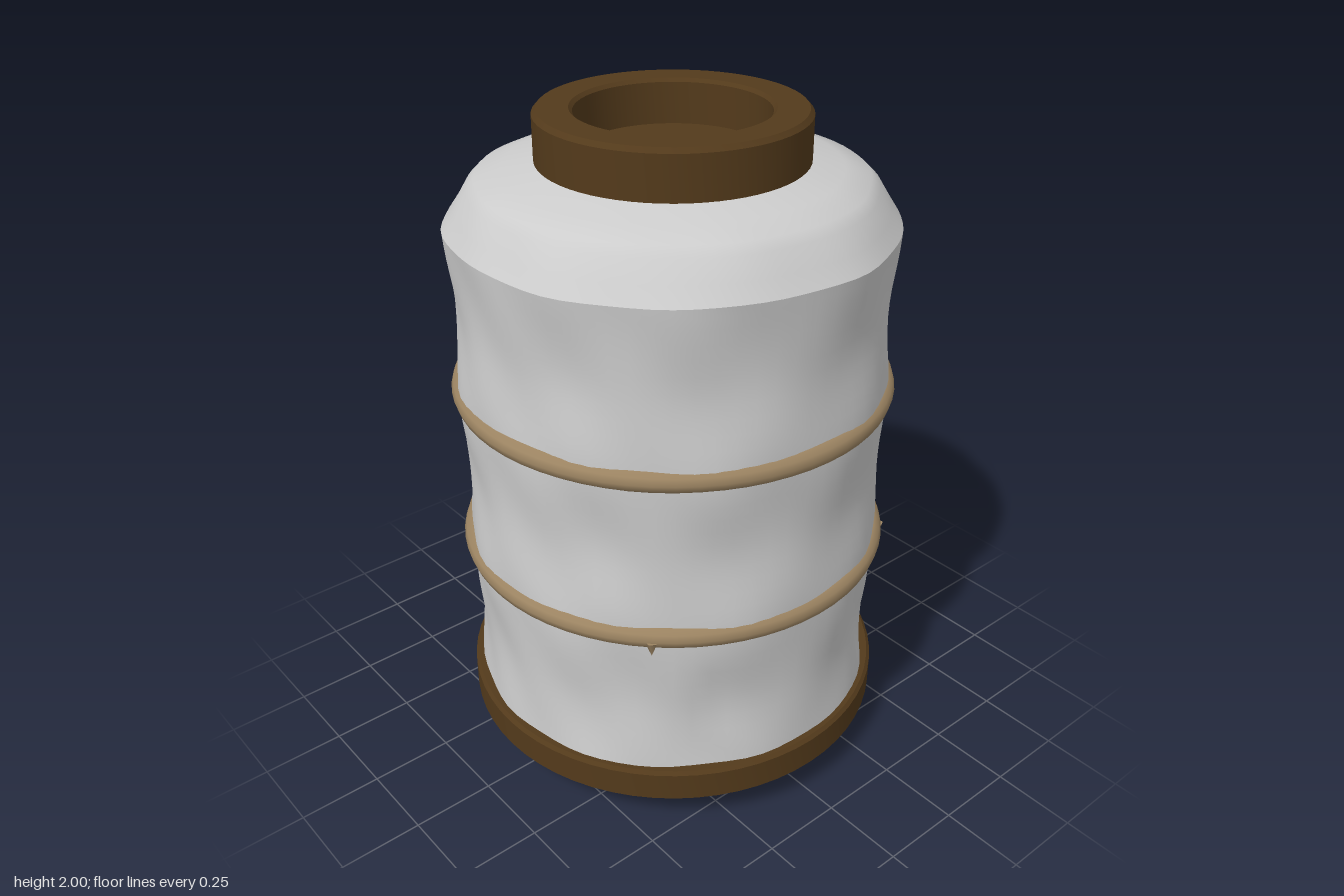
import * as THREE from 'three';
import { toCreasedNormals } from 'three/addons/utils/BufferGeometryUtils.js';

const wood = new THREE.MeshStandardMaterial({ color: 0x533a1b });
wood.name = 'dark wood';
const cloth = new THREE.MeshStandardMaterial({ color: 0xcccccc });
cloth.name = 'pale cloth';
const cord = new THREE.MeshStandardMaterial({ color: 0x9c8462 });
cord.name = 'tan cord';

// Revolve a list of [radius, height] pairs
function lathe(points, sides) {
  return new THREE.LatheGeometry(points.map(([r, y]) => new THREE.Vector2(r, y)), sides);
}

function addMesh(group, name, geometry, material) {
  const mesh = new THREE.Mesh(geometry, material);
  mesh.name = name;
  group.add(mesh);
  return mesh;
}

// Soft wrinkles plus a few sharp vertical folds: [angle from +z towards +x, height, half length, depth]
const folds = [
  [0.62, 0.36, 0.14, 0.022], [-0.5, 0.45, 0.14, 0.014], [1.37, 1.5, 0.14, 0.014],
  [2.1, 0.45, 0.2, 0.02], [-2.3, 0.45, 0.2, 0.016], [2.5, 1.45, 0.18, 0.014],
];
function wrinkle(a, y) {
  let d = 0.003 * Math.sin(5 * a + 4 * y) + 0.003 * Math.sin(9 * a - 11 * y)
    + 0.002 * Math.sin(14 * a + 17 * y + 2);
  for (const [fa, fy, len, depth] of folds) {
    let da = a - fa - (y - fy) * -0.25;
    da = Math.atan2(Math.sin(da), Math.cos(da));
    const along = Math.max(0, 1 - ((y - fy) / len) ** 2);
    d -= depth * along * Math.exp(-((da / 0.07) ** 2));
  }
  return d;
}

function clothGeometry() {
  // Bulging between the cords, rounded at the shoulder
  const curve = new THREE.SplineCurve([
    [0.627, 0.2], [0.612, 0.42], [0.632, 0.7], [0.615, 0.95], [0.632, 1.2], [0.615, 1.45], [0.637, 1.69],
  ].map(([r, y]) => new THREE.Vector2(r, y)));
  const side = curve.getPoints(36).map(p => [p.x, p.y]);
  const shoulder = [[0.605, 1.735], [0.57, 1.79], [0.545, 1.815], [0.47, 1.84], [0.36, 1.865]];
  const g = lathe([...side, ...shoulder], 72);
  const pos = g.attributes.position;
  for (let i = 0; i < pos.count; i++) {
    const x = pos.getX(i), y = pos.getY(i), z = pos.getZ(i);
    const r = Math.hypot(x, z);
    const fade = THREE.MathUtils.clamp((r - 0.4) / 0.2, 0, 1);
    const k = 1 + fade * wrinkle(Math.atan2(x, z), y) / r;
    pos.setXYZ(i, x * k, y, z * k);
  }
  return toCreasedNormals(g, 0.6);
}

export function createModel() {
  const group = new THREE.Group();

  // Base plate with a shallow underside recess and a hollow foot
  const base = lathe([
    [0, 0.13], [0.27, 0.13], [0.27, 0.01], [0.28, 0], [0.37, 0], [0.38, 0.01], [0.38, 0.125],
    [0.6, 0.125], [0.61, 0.108], [0.642, 0.108], [0.652, 0.118], [0.652, 0.207], [0.642, 0.217], [0.58, 0.217],
  ], 64);
  addMesh(group, 'base', toCreasedNormals(base, 0.6), wood);

  // Cloth wrapping
  addMesh(group, 'clothBody', clothGeometry(), cloth);

  // Hollow collar on top
  const collar = lathe([
    [0.38, 1.83], [0.38, 1.987], [0.368, 2], [0.28, 2], [0.27, 1.99], [0.27, 1.87], [0, 1.87],
  ], 64);
  addMesh(group, 'topCollar', toCreasedNormals(collar, 0.6), wood);

  // Cords tied around the body
  for (const [name, y] of [['lowerCord', 0.698], ['upperCord', 1.202]]) {
    const ring = addMesh(group, name, new THREE.TorusGeometry(0.618, 0.034, 10, 64), cord);
    ring.rotation.x = Math.PI / 2;
    ring.position.y = y;
  }

  // Small knots hanging under the lower cord
  for (const s of [-1, 1]) {
    const knot = addMesh(group, 'cordKnot', new THREE.ConeGeometry(0.02, 0.05, 6), cord);
    knot.rotation.x = Math.PI;
    knot.position.set(s * 0.455, 0.67, 0.45);
  }
  return group;
}
